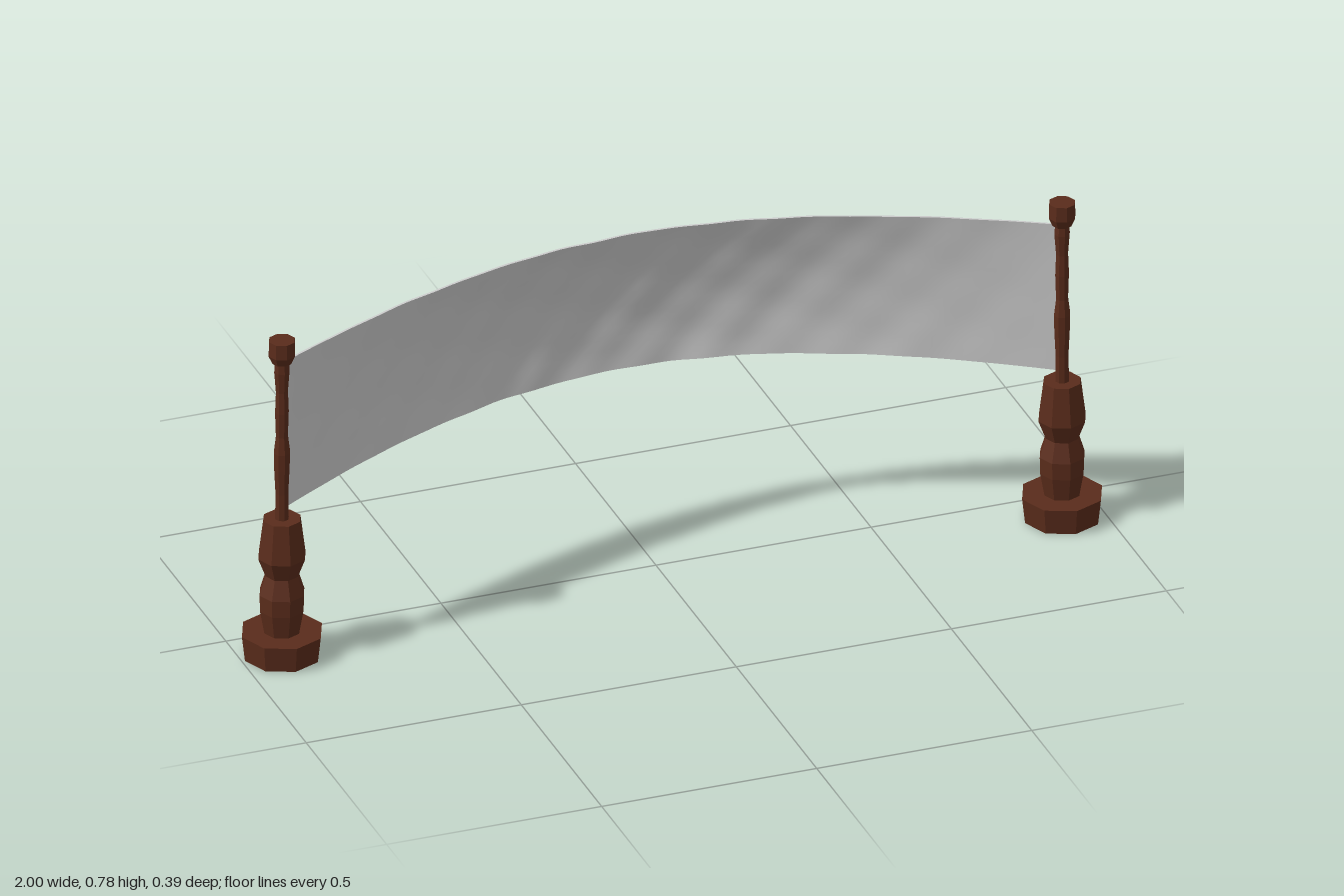
import * as THREE from 'three';

const POST_X = 0.907, POST_Z = 0.1;

const wood = new THREE.MeshStandardMaterial({ color: 0x5a2c1b, flatShading: true });
const cloth = new THREE.MeshStandardMaterial({ color: 0xcccccc });

// Eight-sided turned part from [radius, height] pairs, bottom to top
function turned(name, profile) {
  const points = profile.map(([r, y]) => new THREE.Vector2(r, y));
  const mesh = new THREE.Mesh(new THREE.LatheGeometry(points, 8), wood);
  mesh.name = name;
  return mesh;
}

function createPost(name) {
  const post = new THREE.Group();
  post.name = name;
  post.add(
    turned('base', [[0, 0], [0.086, 0], [0.093, 0.06], [0, 0.06]]),
    turned('balusterBody', [[0, 0.055], [0.041, 0.06], [0.051, 0.115], [0.052, 0.155],
      [0.038, 0.2], [0.055, 0.245], [0.043, 0.337], [0, 0.337]]),
    turned('pole', [[0.016, 0.33], [0.015, 0.4], [0.018, 0.46], [0.019, 0.5], [0.014, 0.54],
      [0.016, 0.6], [0.014, 0.65], [0.018, 0.7], [0.016, 0.73]]),
    turned('cap', [[0, 0.72], [0.022, 0.722], [0.031, 0.742], [0.03, 0.777], [0, 0.777]])
  );
  return post;
}

// Thin cloth bowed backwards between the poles, bellied at mid height
function createBanner() {
  const geometry = new THREE.BoxGeometry(2, 1, 0.006, 72, 14, 1);
  const p = geometry.attributes.position;
  for (let i = 0; i < p.count; i++) {
    const u = p.getX(i), v = p.getY(i) + 0.5, side = p.getZ(i);
    const parabola = 1 - u * u;
    const bow = 0.85 * parabola + 0.15 * Math.cos(u * Math.PI / 2) ** 2;
    // Depth at the middle: 0.284 at the bottom, 0.291 in the belly, 0.242 at the top
    const depth = 0.284 + 0.052 * v - 0.094 * v * v;
    const ripple = 0.0022 * parabola * (Math.sin(u * 23 + v * 7) * Math.sin(v * 11 - u * 5)
      + 0.6 * Math.sin(u * 41 - v * 13));
    const bottom = 0.364 + 0.033 * parabola;
    const top = 0.724 + 0.024 * parabola;
    p.setXYZ(i, u * 0.9, bottom + (top - bottom) * v, POST_Z - bow * depth + ripple + side);
  }
  geometry.computeVertexNormals();
  const banner = new THREE.Mesh(geometry, cloth);
  banner.name = 'banner';
  return banner;
}

export function createModel() {
  const model = new THREE.Group();
  model.name = 'bannerBetweenPosts';
  for (const side of [-1, 1]) {
    const post = createPost(side > 0 ? 'leftPost' : 'rightPost');
    post.position.set(side * POST_X, 0, POST_Z);
    model.add(post);
  }
  model.add(createBanner());
  return model;
}
